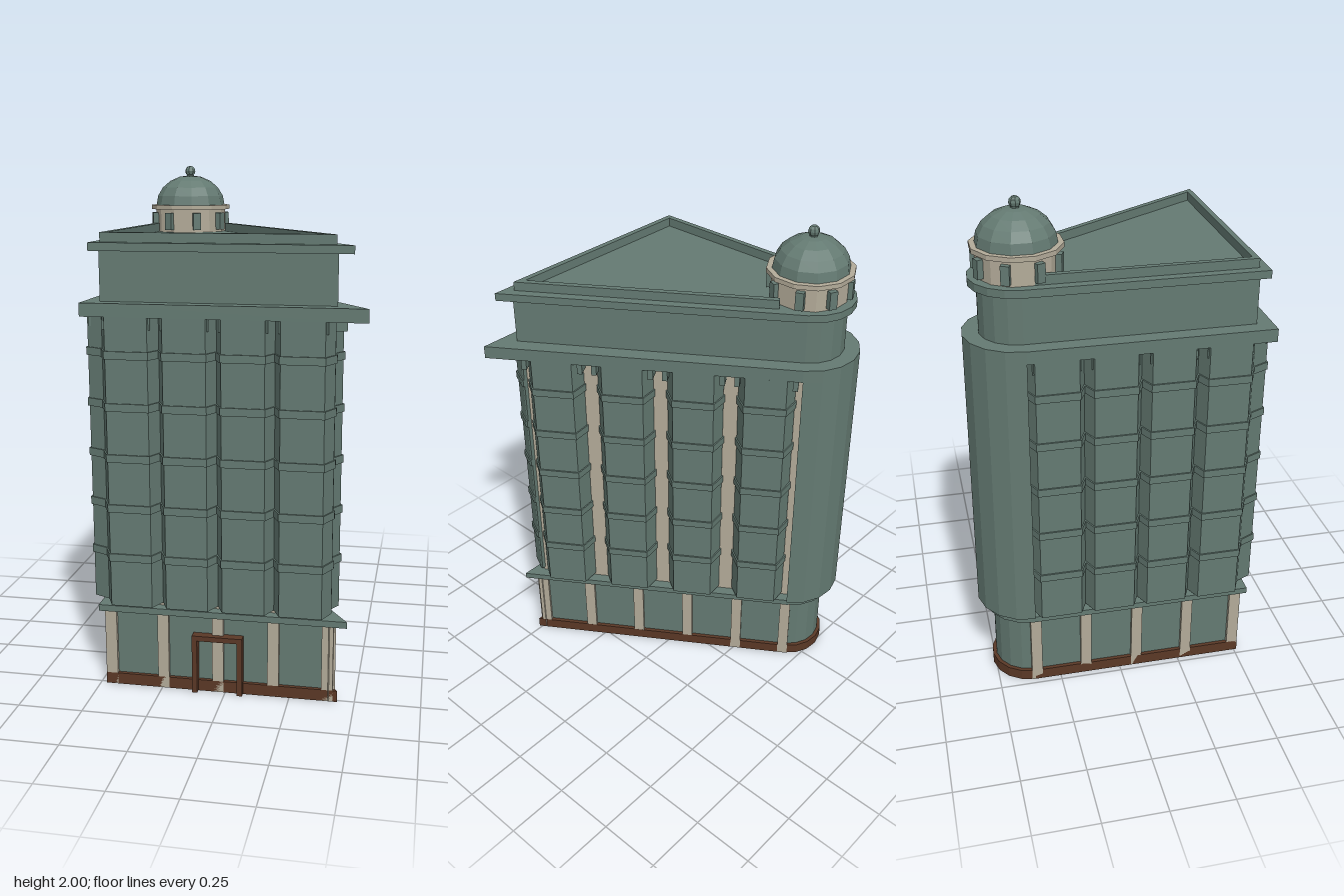
import * as THREE from 'three';

const mat = (name, color, flatShading = true) => {
  const m = new THREE.MeshStandardMaterial({ color, flatShading });
  m.name = name;
  return m;
};

// Plan: a triangle with a rounded back corner
const CORNER = { x: -0.32, z: -0.355, r: 0.14 };
const NX = 0.837, NZ = -0.547, NA = Math.atan2(-NZ, NX);
const LEFT = -0.46, FRONT = 0.495, TIP = 0.403;

// Arc round the back corner, in (x, -z)
function arc(r, n = 7) {
  const pts = [];
  for (let i = 0; i <= n; i++) {
    const a = NA + (Math.PI - NA) * i / n;
    pts.push(new THREE.Vector2(CORNER.x + r * Math.cos(a), -CORNER.z + r * Math.sin(a)));
  }
  return pts;
}

// Whole plan grown outward by d
const outline = d => [
  new THREE.Vector2(LEFT - d, -FRONT - d),
  new THREE.Vector2(TIP + 1.88 * d, -FRONT - d),
  ...arc(CORNER.r + d),
];

export function createModel() {
  const green = mat('weathered green', 0x647a72);
  const beige = mat('beige stone', 0xb3ab99);
  const brown = mat('dark brown', 0x5a3826);
  const model = new THREE.Group();

  const add = (parent, name, geo, material, x = 0, y = 0, z = 0) => {
    const m = new THREE.Mesh(geo, material);
    m.name = name;
    m.position.set(x, y, z);
    parent.add(m);
    return m;
  };
  const prism = (pts, y0, y1, hole) => {
    const s = new THREE.Shape(pts);
    if (hole) s.holes.push(new THREE.Path(hole));
    return new THREE.ExtrudeGeometry(s, { depth: y1 - y0, bevelEnabled: false })
      .rotateX(-Math.PI / 2).translate(0, y0, 0);
  };
  const slab = (name, d, y0, y1, material, inner) =>
    add(model, name, prism(outline(d), y0, y1, inner !== undefined && outline(inner)), material);

  // Stacked storeys, hollow at street level
  slab('plinth', 0.017, 0, 0.045, brown, 0);
  slab('groundFloorWall', 0.002, 0, 0.312, green, -0.012);
  slab('ledge', 0.035, 0.31, 0.335, green);
  slab('shaftCore', -0.006, 0.305, 1.47, beige);
  slab('mainCornice', 0.065, 1.46, 1.51, green);
  slab('attic', 0.004, 1.51, 1.7, green);
  slab('roofCornice', 0.035, 1.695, 1.725, green);

  // Rounded corner of the shaft
  add(model, 'roundedCorner',
    prism([...arc(CORNER.r + 0.065), ...arc(CORNER.r - 0.005).reverse()], 0.35, 1.46), green);

  // Parapet along the three straight sides
  const t = 0.022, len = 1.0;
  const ex = TIP + NZ * len, ez = FRONT - NX * len;
  add(model, 'parapet', prism([
    [LEFT, 0.34], [LEFT, -FRONT], [TIP, -FRONT], [ex, -ez],
    [ex - NX * t, -ez + NZ * t], [TIP - 1.88 * t, -FRONT + t], [LEFT + t, -FRONT + t], [LEFT + t, 0.34],
  ].map(p => new THREE.Vector2(...p)), 1.725, 1.76), green);

  // Canted bay plan grown by g
  const bayPlan = g => [
    [-0.11 - g, 0.01], [-0.11 - g, 0], [-0.08 - g / 2, -0.065 - g],
    [0.08 + g / 2, -0.065 - g], [0.11 + g, 0], [0.11 + g, 0.01],
  ].map(p => new THREE.Vector2(...p));
  const bayGeo = prism(bayPlan(0), 0.35, 1.46);
  const bandGeo = prism(bayPlan(0.006), -0.015, 0.015);
  const bracketGeo = new THREE.BoxGeometry(0.02, 0.045, 0.06);
  const pilasterGeo = new THREE.BoxGeometry(0.044, 0.31, 0.03);

  // Each facade runs along its local x and faces its local z
  const facades = [
    { name: 'frontFacade', x: LEFT, z: FRONT, nx: 0, nz: 1, length: TIP - LEFT, piers: 4 },
    { name: 'diagonalFacade', x: TIP, z: FRONT, nx: NX, nz: NZ, length: 1.109, piers: 5 },
    { name: 'leftSideFacade', x: LEFT, z: CORNER.z, nx: -1, nz: 0, length: FRONT - CORNER.z, piers: 4 },
  ];
  for (const f of facades) {
    const g = new THREE.Group();
    g.name = f.name;
    g.position.set(f.x, 0, f.z);
    g.rotation.y = Math.atan2(f.nx, f.nz);
    model.add(g);
    const pitch = f.length / 4;
    for (let i = 0; i < 4; i++) {
      const x = pitch * (i + 0.5);
      add(g, 'bayWindow', bayGeo, green, x);
      for (let k = 0; k < 5; k++) add(g, 'floorBand', bandGeo, green, x, 0.545 + k * 0.194);
    }
    for (let i = 0; i <= 4; i++) for (const s of [-1, 1]) {
      const x = pitch * i + s * 0.028;
      if (x > 0 && x < f.length) add(g, 'corniceBracket', bracketGeo, green, x, 1.4375, 0.028);
    }
    for (let i = 0; i <= f.piers; i++)
      add(g, 'groundPilaster', pilasterGeo, beige,
        THREE.MathUtils.clamp(f.length * i / f.piers, 0.008, f.length - 0.008), 0.155, 0.002);
  }

  // Entrance surround
  const door = new THREE.Group();
  door.name = 'entrance';
  door.position.set(-0.028, 0, FRONT + 0.018);
  model.add(door);
  for (const s of [-1, 1])
    add(door, 'doorJamb', new THREE.BoxGeometry(0.02, 0.215, 0.04), brown, s * 0.088, 0.1075);
  add(door, 'doorLintel', new THREE.BoxGeometry(0.196, 0.02, 0.04), brown, 0, 0.225);

  // Domed turret
  const turret = new THREE.Group();
  turret.name = 'turret';
  turret.position.set(-0.318, 0, -0.35);
  model.add(turret);
  const turn = Math.PI / 12;
  add(turret, 'drum', new THREE.CylinderGeometry(0.148, 0.148, 0.1, 12), beige, 0, 1.772).rotation.y = turn;
  add(turret, 'drumRing', new THREE.CylinderGeometry(0.168, 0.168, 0.018, 12), beige, 0, 1.828).rotation.y = turn;
  for (let i = 0; i < 8; i++) {
    const a = (i + 0.5) * Math.PI / 4;
    add(turret, 'drumWindow', new THREE.BoxGeometry(0.032, 0.07, 0.03), green,
      0.15 * Math.sin(a), 1.77, 0.15 * Math.cos(a)).rotation.y = a;
  }
  const dome = new THREE.SphereGeometry(0.147, 12, 5, 0, Math.PI * 2, 0, Math.PI / 2).scale(1, 0.85, 1);
  add(turret, 'dome', dome, green, 0, 1.836).rotation.y = turn;
  add(turret, 'finialNeck', new THREE.CylinderGeometry(0.012, 0.018, 0.03, 8), green, 0, 1.963);
  add(turret, 'finial', new THREE.SphereGeometry(0.022, 8, 6), green, 0, 1.978);
  return model;
}
